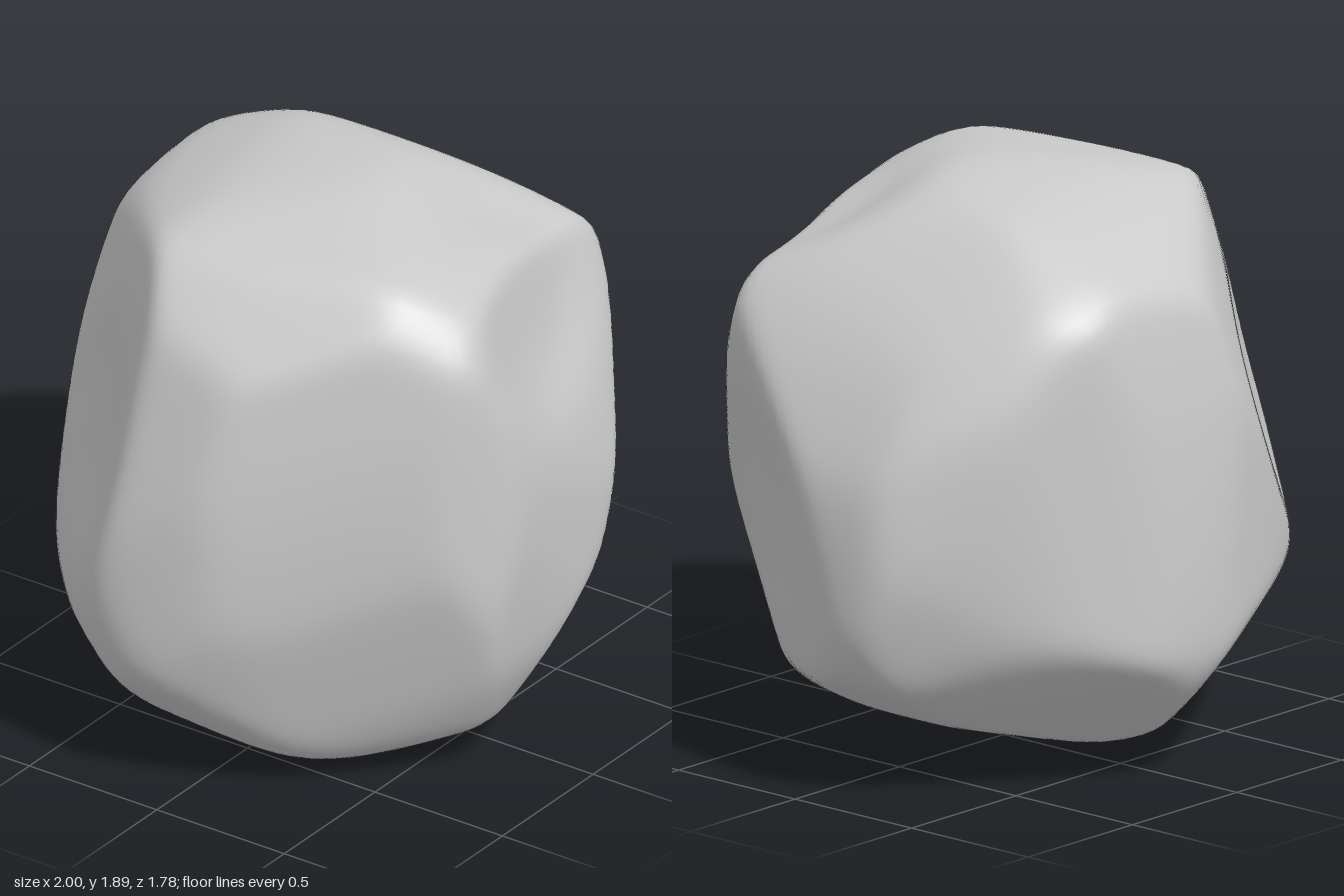
import * as THREE from 'three';
import { mergeVertices } from 'three/addons/utils/BufferGeometryUtils.js';

// Contours of the boulder, measured from its core
const FRONT = [ // x, y
  [-0.28, -0.945], [-0.6, -0.865], [-0.82, -0.675], [-0.96, -0.505], [-1, -0.265], [-0.99, -0.045],
  [-0.8, 0.675], [-0.65, 0.845], [-0.38, 0.905], [-0.08, 0.945], [0.3, 0.905], [0.43, 0.855],
  [0.62, 0.705], [0.8, 0.465], [0.96, 0.135], [1, -0.125], [0.98, -0.385], [0.88, -0.565], [0.63, -0.715],
];
const SIDE = [ // z, y
  [0.15, -0.945], [0.4, -0.905], [0.67, -0.795], [0.8, -0.545], [0.89, 0.005], [0.85, 0.555],
  [0.76, 0.765], [0.6, 0.865], [0.1, 0.945], [-0.4, 0.875], [-0.7, 0.765], [-0.77, 0.685],
  [-0.84, 0.325], [-0.89, -0.325], [-0.88, -0.505], [-0.8, -0.665], [-0.57, -0.835],
];
const PLAN = [ // x, z
  [-0.25, 0.88], [-0.52, 0.75], [-0.62, 0.63], [-0.91, 0.2], [-1, -0.2], [-0.97, -0.33], [-0.67, -0.62],
  [-0.47, -0.75], [-0.04, -0.89], [0.13, -0.9], [0.45, -0.78], [0.72, -0.63], [0.97, -0.37], [1, -0.2],
  [0.98, 0], [0.75, 0.48], [0.65, 0.65], [0.5, 0.76],
];
// Contours on slanted planes: across, up
const SLANT_A = [
  [-0.87, 0.18], [-0.81, 0.61], [-0.53, 0.91], [-0.36, 1], [-0.25, 1], [0.68, 0.85], [0.84, 0.68],
  [0.97, 0.24], [1.01, -0.25], [0.98, -0.47], [0.91, -0.61], [0.5, -0.84], [-0.32, -0.95],
  [-0.53, -0.93], [-0.68, -0.71], [-0.85, -0.18],
];
const SLANT_B = [
  [-1.01, -0.04], [-0.96, 0.29], [-0.83, 0.53], [-0.58, 0.75], [-0.28, 0.9], [0.24, 0.96], [0.5, 0.94],
  [0.68, 0.89], [0.82, 0.71], [0.87, 0.27], [0.86, -0.36], [0.73, -0.76], [0.6, -0.88], [0.02, -0.98],
  [-0.37, -0.98], [-0.62, -0.8], [-0.88, -0.45],
];
const SLANT_C = [
  [-0.92, 0.22], [-0.86, 0.5], [-0.75, 0.61], [-0.45, 0.82], [-0.12, 1.01], [0.07, 1.04], [0.19, 1.04],
  [0.51, 0.85], [0.64, 0.71], [0.7, 0.55], [0.95, -0.3], [0.95, -0.42], [0.85, -0.7], [0.44, -0.98],
  [0.19, -1.04], [-0.04, -1.04], [-0.3, -1.02], [-0.72, -0.53], [-0.87, -0.08],
];

// Worn facets between the contours: normal x, y, z and distance from the core
const FACETS = [
  [0.27, 0.24, 0.93, 0.81],    // front
  [0.85, -0.14, 0.5, 0.815],   // hollow side
  [0.62, -0.08, -0.78, 0.925], // rear left
  [-0.58, 0.3, -0.76, 0.835],  // broad back face
  [-0.85, 0.13, 0.5, 0.88],    // right side
  [0.4, -0.72, -0.55, 0.94], [0.4, -0.75, 0.5, 1.0], [0.45, -0.85, 0.25, 0.91], // underside
  [-0.55, -0.6, 0.58, 1.03], [-0.45, -0.6, -0.65, 0.92],
];

// Shallow scoops: direction, depth and angular width
const SCOOPS = [
  { dir: new THREE.Vector3(0.8, -0.12, 0.47).normalize(), depth: 0.025, width: 0.4 },
  { dir: new THREE.Vector3(0.18, 0.65, 0.6).normalize(), depth: 0.055, width: 0.45 },
  { dir: new THREE.Vector3(-0.7, 0.15, -0.55).normalize(), depth: 0.03, width: 0.4 },
];

const SHARPNESS = 60;
const ROUNDING = 1.025; // makes up for material lost at rounded edges

// One bounding plane per contour edge
function contourPlanes(points, across, up) {
  return points.map(([u, v], i) => {
    const [u2, v2] = points[(i + 1) % points.length];
    const side = Math.sign(u * v2 - v * u2);
    const length = Math.hypot(u2 - u, v2 - v);
    const a = side * (v2 - v) / length, b = side * (u - u2) / length;
    const d = Math.max(...points.map((p) => p[0] * a + p[1] * b));
    return { n: new THREE.Vector3().addScaledVector(across, a).addScaledVector(up, b), d };
  });
}

// Contour on a plane facing the given direction
function slantPlanes(points, x, y, z) {
  const across = new THREE.Vector3(z, 0, -x).normalize();
  const up = new THREE.Vector3(x, y, z).normalize().cross(across);
  return contourPlanes(points, across, up);
}

const X = new THREE.Vector3(1, 0, 0), Y = new THREE.Vector3(0, 1, 0), Z = new THREE.Vector3(0, 0, 1);
const PLANES = [
  ...contourPlanes(FRONT, X, Y),
  ...contourPlanes(SIDE, Z, Y),
  ...contourPlanes(PLAN, X, Z),
  ...slantPlanes(SLANT_A, 0.7, 0.5, 1),
  ...slantPlanes(SLANT_B, -0.7, 0.5, -1),
  ...slantPlanes(SLANT_C, 0.7, -0.73, -1),
  ...FACETS.map(([x, y, z, d]) => ({ n: new THREE.Vector3(x, y, z).normalize(), d })),
];

// Distance to the rounded meeting of all planes along a direction
function radius(u) {
  let sum = 0;
  for (const { n, d } of PLANES) sum += Math.pow(Math.max(n.dot(u), 0) / d, SHARPNESS);
  let r = ROUNDING * Math.pow(sum, -1 / SHARPNESS);
  for (const { dir, depth, width } of SCOOPS) {
    r -= depth * Math.exp(-Math.pow(u.angleTo(dir) / width, 4));
  }
  return r;
}

export function createModel() {
  const group = new THREE.Group();
  group.name = 'boulder';

  // Smooth sphere pushed out to the worn faces
  let geo = new THREE.IcosahedronGeometry(1, 32);
  geo.deleteAttribute('normal');
  geo.deleteAttribute('uv');
  geo = mergeVertices(geo, 1e-4);
  const pos = geo.attributes.position;
  const u = new THREE.Vector3();
  for (let i = 0; i < pos.count; i++) {
    u.fromBufferAttribute(pos, i).normalize();
    u.multiplyScalar(radius(u));
    pos.setXYZ(i, u.x, u.y, u.z);
  }
  geo.translate(0, 0.945, 0);
  geo.computeVertexNormals();

  const rock = new THREE.Mesh(geo, new THREE.MeshStandardMaterial({ color: 0xcccccc }));
  rock.name = 'rock';
  group.add(rock);
  return group;
}
